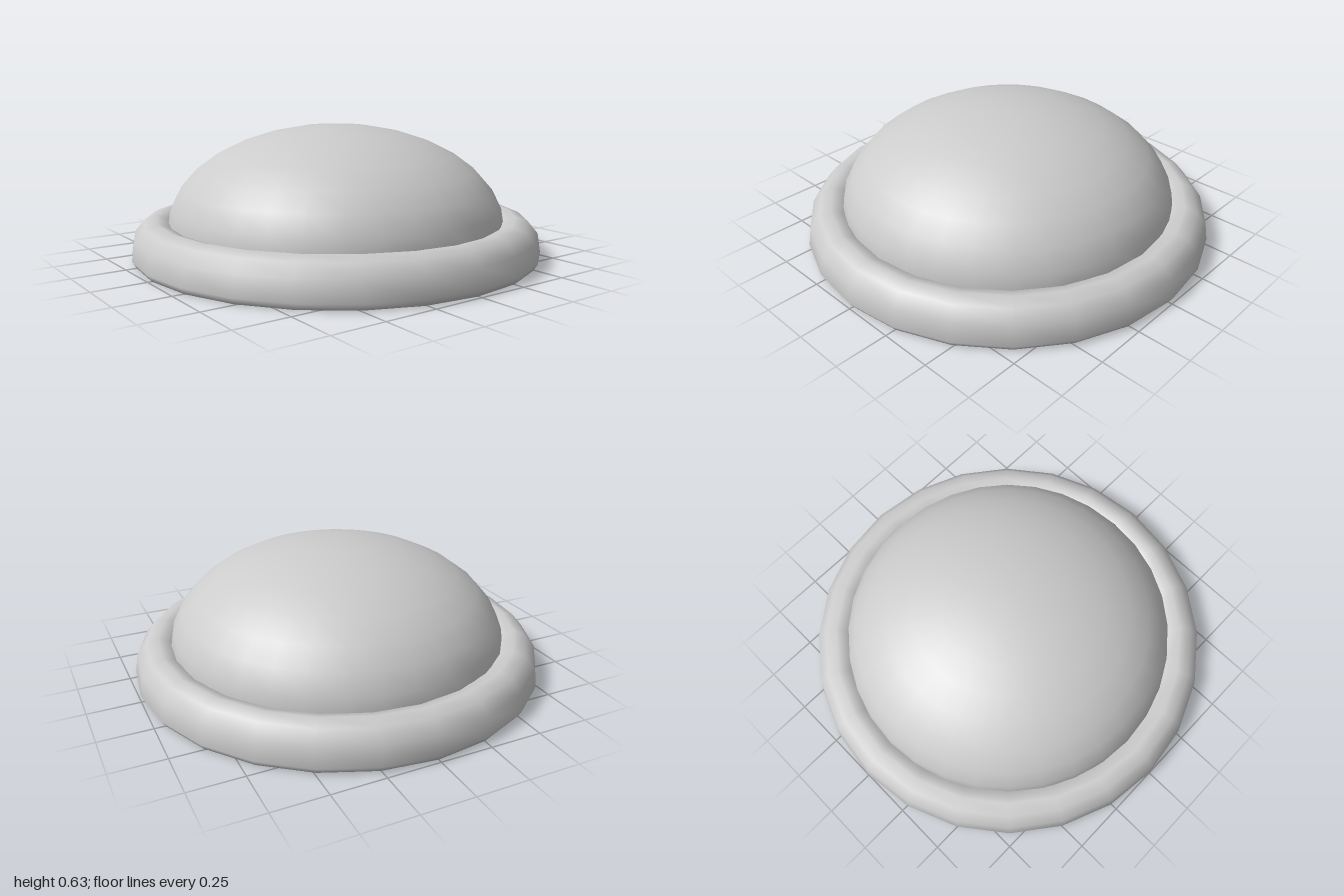
import * as THREE from 'three';

export function createModel() {
  const group = new THREE.Group();
  const material = new THREE.MeshStandardMaterial({ color: 0xcccccc });
  const add = (name, geometry, y = 0) => {
    const mesh = new THREE.Mesh(geometry, material);
    mesh.name = name;
    mesh.position.y = y;
    group.add(mesh);
    return mesh;
  };

  // Rounded base ring: half a cross-section, mirrored about the ring's centre line
  const ringRadius = 0.88;
  const half = [[0, 0], [0.1, 0], [0.12, 0.03], [0.105, 0.12], [0.058, 0.177], [0, 0.196]];
  const outer = half.map(([dx, y]) => new THREE.Vector2(ringRadius + dx, y));
  const inner = half.slice(0, -1).reverse().map(([dx, y]) => new THREE.Vector2(ringRadius - dx, y));
  add('baseRing', new THREE.LatheGeometry([...outer, ...inner], 24));

  // Flattened dome seated inside the ring
  const domeRadius = 0.825, domeBase = 0.14, domeHeight = 0.495;
  const dome = new THREE.SphereGeometry(1, 32, 8, 0, Math.PI * 2, 0, Math.PI / 2);
  dome.scale(domeRadius, domeHeight, domeRadius);
  add('dome', dome, domeBase);

  // Flat underside closing the dome
  const underside = new THREE.CircleGeometry(domeRadius, 32);
  underside.rotateX(Math.PI / 2);
  add('domeUnderside', underside, domeBase);

  return group;
}
